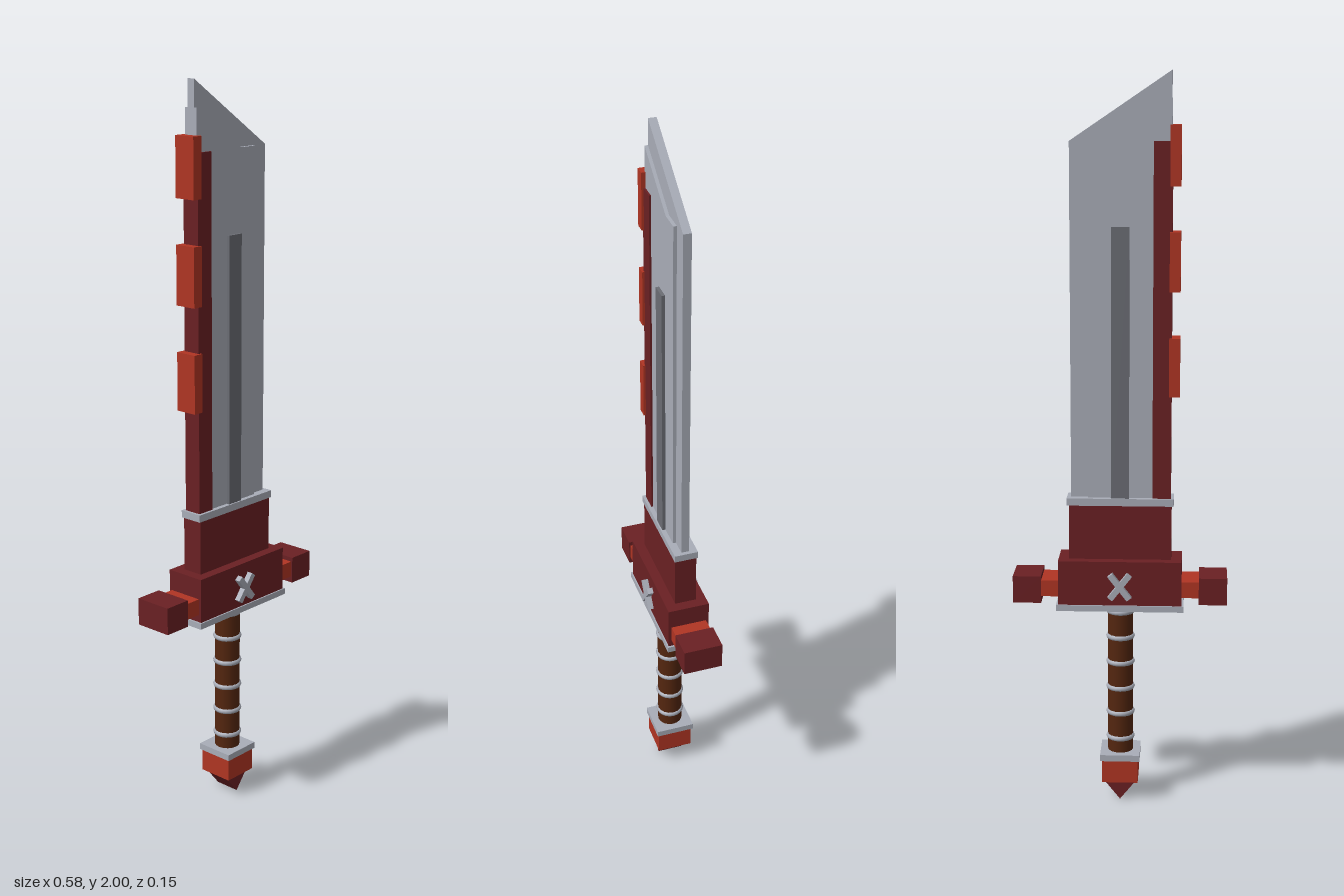
import * as THREE from 'three';

const mat = (name, color) => {
  const m = new THREE.MeshStandardMaterial({ color });
  m.name = name;
  return m;
};

export function createModel() {
  const steel = mat('steel', 0xa9adb8);
  const darkSteel = mat('dark steel', 0x6b6d74);
  const maroon = mat('maroon', 0x6a2023);
  const red = mat('bright red', 0xb03523);
  const leather = mat('leather', 0x54260f);

  const model = new THREE.Group();
  model.name = 'sword';
  const add = (name, geometry, material) => {
    const mesh = new THREE.Mesh(geometry, material);
    mesh.name = name;
    model.add(mesh);
    return mesh;
  };
  // box given by its x and y ranges and its half depth
  const box = (name, x0, x1, y0, y1, halfZ, material) =>
    add(name, new THREE.BoxGeometry(x1 - x0, y1 - y0, halfZ * 2), material)
      .position.set((x0 + x1) / 2, (y0 + y1) / 2, 0);
  // outline in x and y, extruded evenly to front and back
  const slab = (name, points, halfZ, material) => {
    const shape = new THREE.Shape(points.map(p => new THREE.Vector2(...p)));
    const g = new THREE.ExtrudeGeometry(shape, { depth: halfZ * 2, bevelEnabled: false });
    return add(name, g.translate(0, 0, -halfZ), material);
  };

  // blade: thin cutting edge around a thicker core
  slab('bladeEdge', [[-0.134, 0.86], [0.134, 0.86], [0.134, 1.82], [-0.134, 2]], 0.011, steel);
  slab('bladeCore', [[-0.135, 0.86], [0.088, 0.86], [0.088, 1.82], [0.03, 1.82], [-0.135, 1.93]], 0.02, steel);
  box('bladeRidge', -0.024, 0.024, 0.86, 1.6, 0.029, darkSteel);

  // spine with its teeth
  box('spine', -0.137, -0.087, 0.86, 1.82, 0.025, maroon);
  for (const y of [1.15, 1.43, 1.705]) box('spineTooth', -0.159, -0.13, y, y + 0.157, 0.031, red);

  // collar and guard
  box('collarPlate', -0.145, 0.145, 0.85, 0.87, 0.033, steel);
  box('collar', -0.139, 0.139, 0.69, 0.85, 0.03, maroon);
  box('guard', -0.168, 0.168, 0.575, 0.7, 0.058, maroon);
  box('guardPlate', -0.174, 0.174, 0.56, 0.577, 0.062, steel);
  for (const s of [-1, 1]) {
    const side = (name, a, b, ...rest) => box(name, Math.min(s * a, s * b), Math.max(s * a, s * b), ...rest);
    side('guardArm', 0.16, 0.22, 0.598, 0.643, 0.05, red);
    side('guardEnd', 0.215, 0.292, 0.58, 0.655, 0.054, maroon);
    // crossed bars on the front and back of the guard
    for (const tilt of [-1, 1]) {
      const bar = add('crossBar', new THREE.BoxGeometry(0.016, 0.085, 0.022), steel);
      bar.position.set(0, 0.632, s * 0.063);
      bar.rotation.z = tilt * 0.66;
    }
  }

  // grip with rings
  add('grip', new THREE.CylinderGeometry(0.035, 0.035, 0.44, 16), leather).position.y = 0.345;
  for (let i = 0; i < 6; i++) {
    const ring = add('gripRing', new THREE.TorusGeometry(0.032, 0.008, 8, 20), steel);
    ring.rotation.x = Math.PI / 2;
    ring.position.y = 0.178 + i * 0.0737;
  }

  // pommel
  box('pommelPlate', -0.055, 0.055, 0.12, 0.138, 0.055, steel);
  box('pommel', -0.05, 0.05, 0.055, 0.122, 0.05, red);
  slab('pommelTip', [[-0.045, 0.056], [0, 0], [0.045, 0.056]], 0.036, maroon);

  return model;
}
